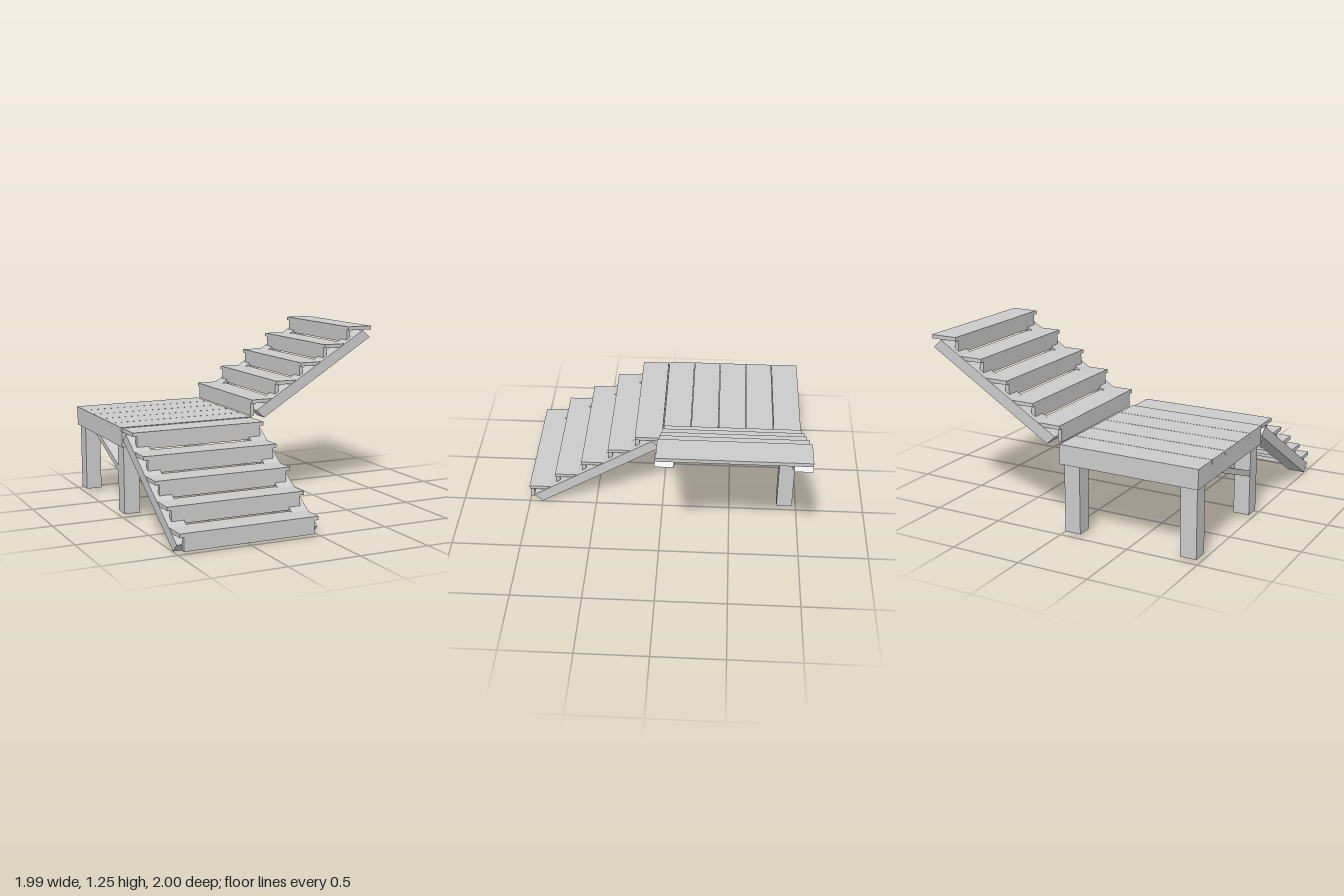
import * as THREE from 'three';

const wood = new THREE.MeshStandardMaterial({ color: 0xcccccc, flatShading: true });

// Box given by its min and max on each axis
function plank(name, [x0, x1], [y0, y1], [z0, z1]) {
  const mesh = new THREE.Mesh(new THREE.BoxGeometry(x1 - x0, y1 - y0, z1 - z0), wood);
  mesh.name = name;
  mesh.position.set((x0 + x1) / 2, (y0 + y1) / 2, (z0 + z1) / 2);
  return mesh;
}

// Side outline in x/y, extruded along z from z0 to z1
function profile(name, points, z0, z1) {
  const shape = new THREE.Shape(points.map(([x, y]) => new THREE.Vector2(x, y)));
  const geometry = new THREE.ExtrudeGeometry(shape, { depth: z1 - z0, bevelEnabled: false });
  geometry.translate(0, 0, z0);
  const mesh = new THREE.Mesh(geometry, wood);
  mesh.name = name;
  return mesh;
}

// Five-step flight rising along +x from x = 0 to 1, spanning z = -1 to 0
function createFlight(name) {
  const flight = new THREE.Group();
  flight.name = name;
  const rise = 0.1235;
  for (let i = 0; i < 5; i++) {
    const x = i * 0.2;
    const top = 0.136 + i * rise;
    flight.add(plank('tread', [x, x + 0.196], [top - 0.026, top], [-0.99, -0.012]));
    flight.add(plank('riser', [x + 0.002, x + 0.03], [top - 0.118, top - 0.026], [-0.96, -0.04]));
  }
  // Sloping beams under both ends of the treads
  const outline = [[0.033, 0.058], [0.095, 0.002], [0.98, 0.548], [0.92, 0.602]];
  for (const z of [-0.995, -0.125]) flight.add(profile('stringer', outline, z, z + 0.122));
  return flight;
}

function createPlatform() {
  const platform = new THREE.Group();
  platform.name = 'platform';

  // Deck boards
  for (let i = 0; i < 5; i++) {
    const z = -1 + i * 0.2;
    platform.add(plank('deckBoard', [-0.998, -0.004], [0.604, 0.634], [z + 0.001, z + 0.197]));
  }

  // Square frame: two full-length beams with two cross beams between them
  for (const x of [-0.995, -0.118]) {
    platform.add(plank('sideBeam', [x, x + 0.12], [0.497, 0.604], [-0.995, 0.003]));
  }
  for (const z of [-0.995, -0.117]) {
    platform.add(plank('crossBeam', [-0.875, -0.118], [0.497, 0.604], [z, z + 0.12]));
  }

  // Three legs; the corner between the two flights stays open
  for (const [x, z] of [[-0.922, -0.075], [-0.922, -0.913], [-0.078, -0.913]]) {
    platform.add(plank('leg', [x - 0.057, x + 0.057], [0.02, 0.5], [z - 0.057, z + 0.057]));
  }

  // Diagonal brace from the front leg up to the side beam
  const brace = profile('brace',
    [[0.1, 0.289], [0.66, 0.502], [0.55, 0.502], [0.1, 0.331]], -0.055, 0.055);
  brace.rotation.y = Math.PI / 2;
  brace.position.x = -0.922;
  platform.add(brace);
  return platform;
}

export function createModel() {
  const model = new THREE.Group();
  model.name = 'stairsWithLanding';

  const upper = createFlight('upperFlight');
  upper.position.y = 0.618;

  // Lower flight climbs towards -z and meets the deck at z = 0
  const lower = createFlight('lowerFlight');
  lower.rotation.y = Math.PI / 2;
  lower.position.set(0, 0, 1);

  model.add(createPlatform(), upper, lower);
  return model;
}
